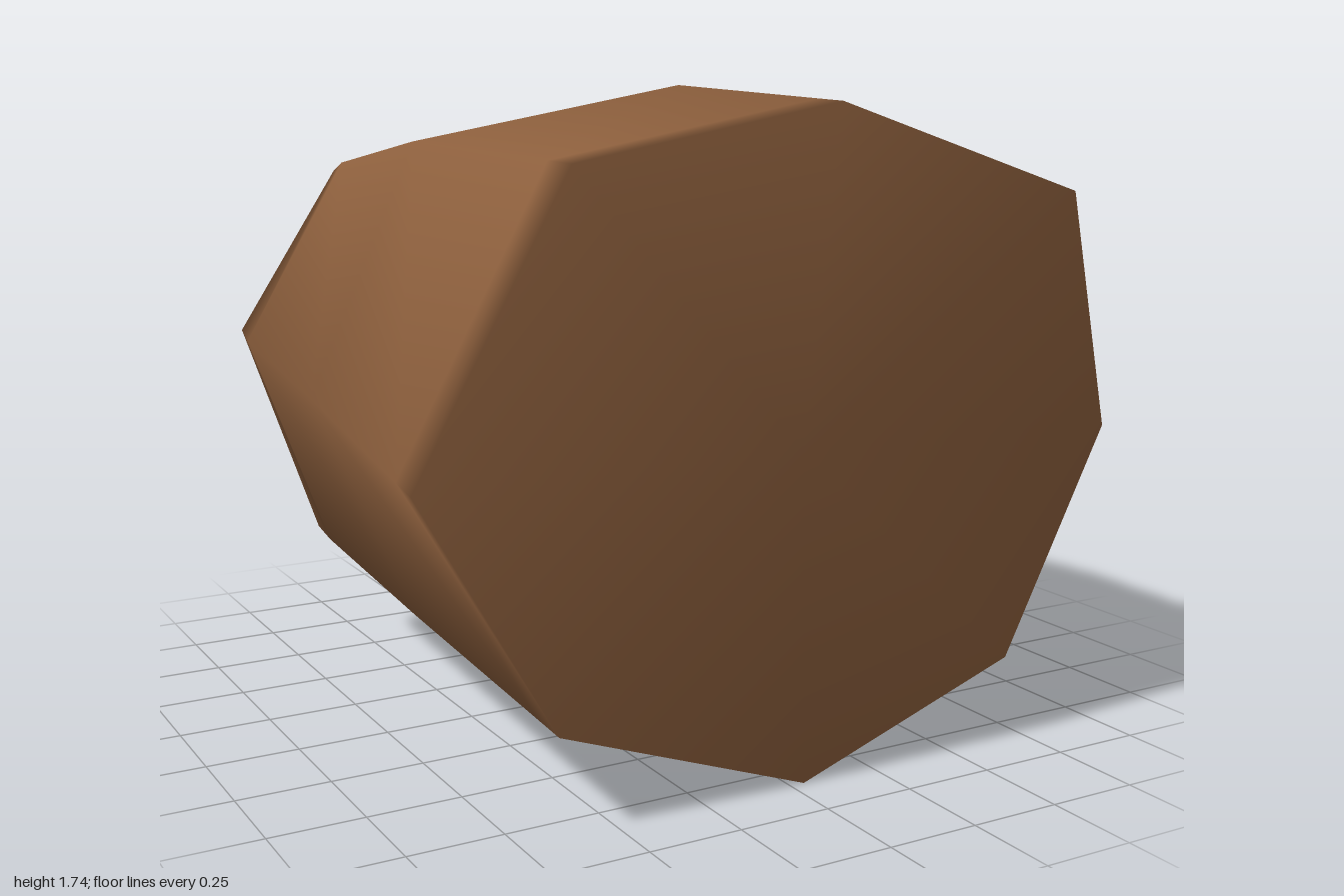
import * as THREE from 'three';

// Cross-sections, eight corners each, running around the log from its right side over the top
const front = [[-1, .86, .83], [-.64, 1.57, .9], [.1, 1.7, .865], [.8, 1.47, .91],
  [1, .83, .84], [.68, .23, .85], [.04, 0, .84], [-.65, .25, .84]];
const middle = [[-.92, .93, -.05], [-.62, 1.59, -.05], [.19, 1.735, -.05], [.8, 1.5, -.05],
  [.97, .85, -.05], [.66, .26, -.05], [.04, .1, -.05], [-.64, .3, -.05]];
const back = [[-.84, 1, -.91], [-.56, 1.48, -.83], [.13, 1.53, -.91], [.8, 1.34, -.89],
  [.94, .87, -.87], [.63, .28, -.88], [.05, .14, -.89], [-.62, .36, -.9]];

// Blend two sections, with separate amounts across and along the log
const blend = (a, b, across, along) => a.map((p, i) =>
  p.map((v, k) => v + (b[i][k] - v) * (k === 2 ? along : across)));

export function createModel() {
  const group = new THREE.Group();
  const bark = new THREE.MeshStandardMaterial({ color: 0x8b5e3c });
  bark.name = 'brown bark';

  // Extra sections near both ends keep the rims tight
  const rings = [front, blend(front, middle, .13, .13), middle, blend(middle, back, .75, .86), back];
  const n = front.length;
  const positions = rings.flat(2);
  const index = [];

  // Sides
  for (let r = 0; r < rings.length - 1; r++) {
    for (let i = 0; i < n; i++) {
      const j = (i + 1) % n;
      const a = r * n + i, b = r * n + j, c = a + n, d = b + n;
      index.push(a, b, d, a, d, c);
    }
  }

  // End faces, sharing the rim so the shading stays smooth
  const frontCentre = rings.length * n, backCentre = frontCentre + 1;
  positions.push(0, .87, .87, .03, .87, -.89);
  for (let i = 0; i < n; i++) {
    const j = (i + 1) % n, last = (rings.length - 1) * n;
    index.push(frontCentre, j, i, backCentre, last + i, last + j);
  }

  const geometry = new THREE.BufferGeometry();
  geometry.setAttribute('position', new THREE.Float32BufferAttribute(positions, 3));
  geometry.setIndex(index);
  geometry.computeVertexNormals();

  const log = new THREE.Mesh(geometry, bark);
  log.name = 'log';
  group.add(log);
  return group;
}
